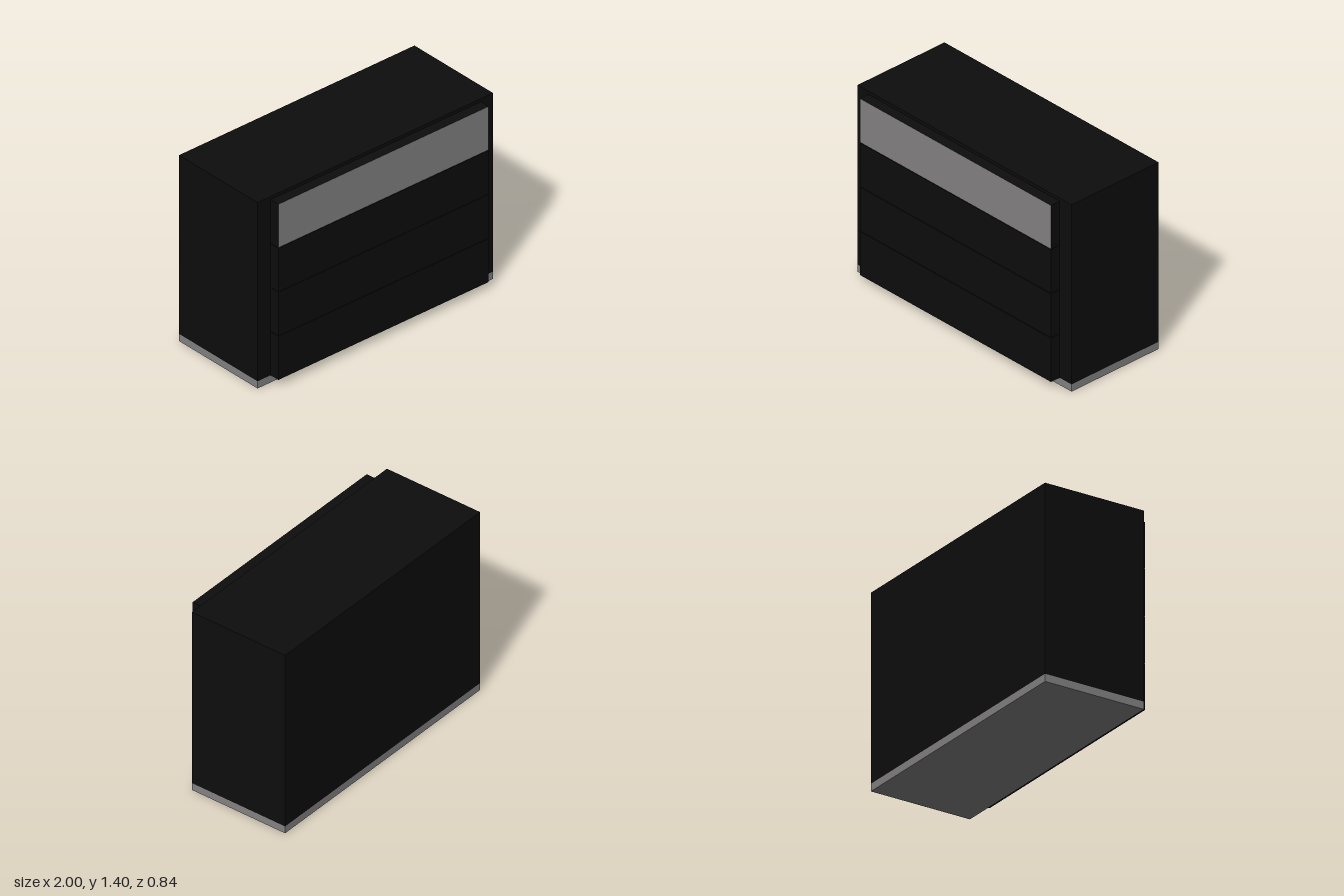
import * as THREE from 'three';

export function createModel() {
  const group = new THREE.Group();
  const black = new THREE.MeshStandardMaterial({ color: 0x0d0d0d });
  black.name = 'black lacquer';
  const grey = new THREE.MeshStandardMaterial({ color: 0x848282 });
  grey.name = 'warm grey';

  // Box given by its minimum and maximum corners
  function box(name, material, [x0, y0, z0], [x1, y1, z1]) {
    const geometry = new THREE.BoxGeometry(x1 - x0, y1 - y0, z1 - z0);
    const mesh = new THREE.Mesh(geometry, material);
    mesh.position.set((x0 + x1) / 2, (y0 + y1) / 2, (z0 + z1) / 2);
    mesh.name = name;
    group.add(mesh);
    return mesh;
  }

  const back = -0.42, front = 0.34;
  const baseTop = 0.054, topBoard = 1.35, height = 1.4;
  const inner = 0.83;

  // Plinth and carcass
  box('plinth', grey, [-1, 0, back], [1, baseTop, front]);
  box('leftSide', black, [inner, baseTop, back], [1, topBoard, front]);
  box('rightSide', black, [-1, baseTop, back], [-inner, topBoard, front]);
  box('cabinetBody', black, [-inner, baseTop, back], [inner, topBoard, front]);
  box('topBoard', black, [-1, topBoard, back], [1, height, front]);

  // Four drawer fronts with narrow gaps; only the top one has a grey face
  const pitch = 0.332, gap = 0.005, bottom = 0.058;
  for (let i = 0; i < 4; i++) {
    const y = bottom + i * pitch;
    const material = i === 3 ? [black, black, black, black, grey, black] : black;
    box('drawerFront' + (i + 1), material,
      [-0.893, y, front + 0.005], [0.893, y + pitch - gap, 0.42]);
  }
  return group;
}
